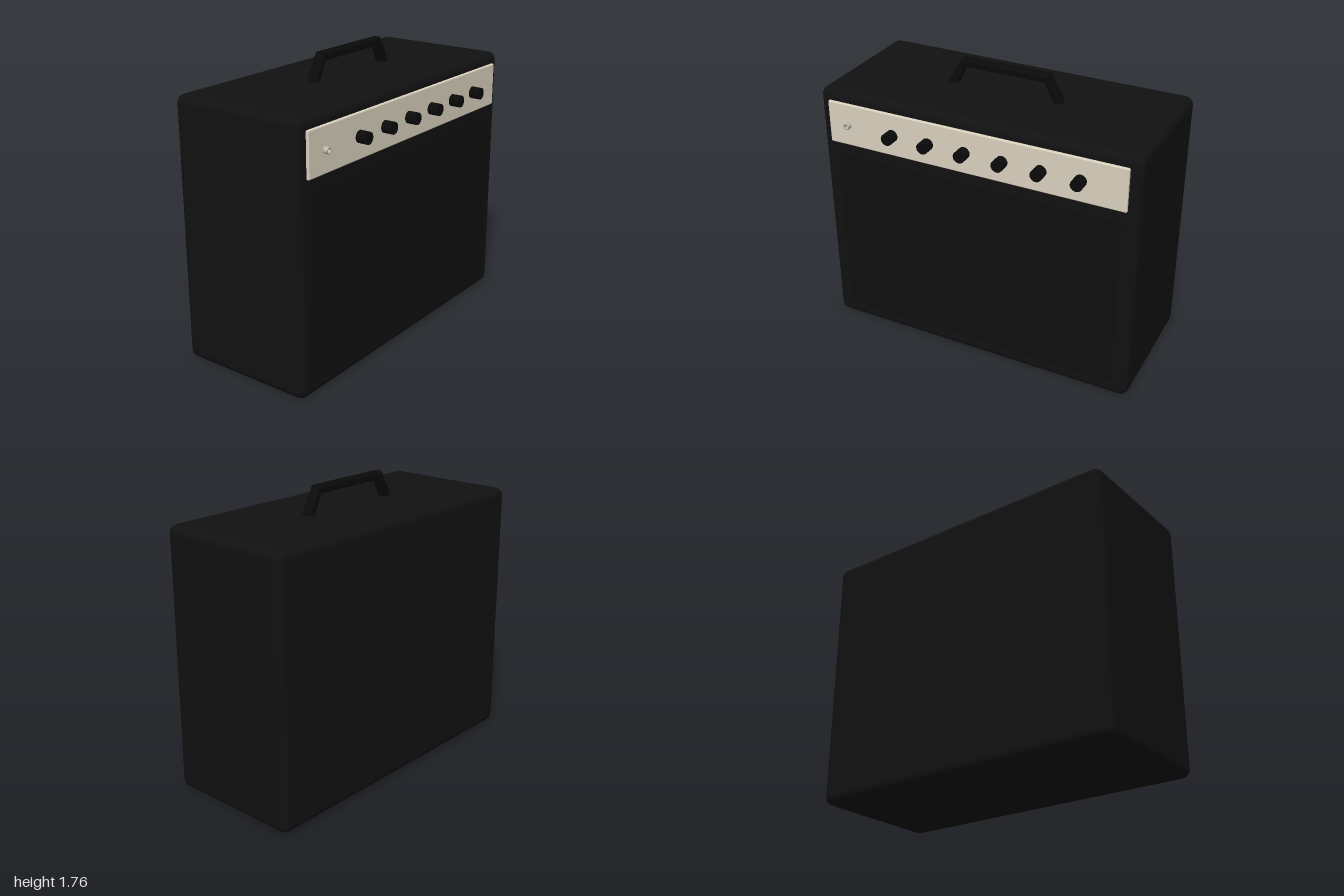
import * as THREE from 'three';
import { RoundedBoxGeometry } from 'three/addons/geometries/RoundedBoxGeometry.js';

const paint = (name, color) => {
  const m = new THREE.MeshStandardMaterial({ color });
  m.name = name;
  return m;
};

export function createModel() {
  const group = new THREE.Group();
  const covering = paint('black covering', 0x111111);
  const cloth = paint('grille black', 0x0f0f0f);
  const plastic = paint('knob black', 0x0a0a0a);
  const cream = paint('cream panel', 0xdad1be);
  const metal = paint('jack metal', 0xc4bcaa);

  const add = (name, geometry, material, x, y, z) => {
    const mesh = new THREE.Mesh(geometry, material);
    mesh.name = name;
    mesh.position.set(x, y, z);
    group.add(mesh);
    return mesh;
  };

  // Cabinet with softly rounded edges
  add('cabinet', new RoundedBoxGeometry(2, 1.6, 0.87, 4, 0.05), covering, 0, 0.8, -0.04);

  // Speaker grille, barely proud of the cabinet front
  add('grille', new THREE.BoxGeometry(1.8, 1.1, 0.02), cloth, 0, 0.65, 0.392);

  // Control panel
  add('controlPanel', new RoundedBoxGeometry(1.866, 0.265, 0.03, 2, 0.008), cream, -0.002, 1.402, 0.396);

  // Row of knobs
  const knob = new THREE.CylinderGeometry(0.036, 0.036, 0.075, 24).rotateX(Math.PI / 2);
  for (let i = 0; i < 6; i++) add('knob' + (i + 1), knob, plastic, -0.504 + i * 0.2336, 1.402, 0.4375);

  // Input jack: a short open sleeve
  const sleeve = [[0.01, -0.02], [0.019, -0.02], [0.019, 0.018], [0.012, 0.018], [0.01, -0.02]]
    .map(([r, h]) => new THREE.Vector2(r, h));
  add('inputJack', new THREE.LatheGeometry(sleeve, 20).rotateX(Math.PI / 2), metal, -0.8, 1.402, 0.419);

  // Carrying handle: angled legs and a straight grip, with bevelled edges
  const b = 0.014;
  const outline = [
    [-0.348, 1.602], [-0.268, 1.746], [0.268, 1.746], [0.348, 1.602],
    [0.325, 1.59], [0.262, 1.724], [-0.262, 1.724], [-0.325, 1.59],
  ].map(([x, y]) => new THREE.Vector2(x, y));
  const handle = new THREE.ExtrudeGeometry(new THREE.Shape(outline), {
    depth: 0.064 - 2 * b, bevelEnabled: true, bevelThickness: b, bevelSize: b, bevelSegments: 2,
  });
  add('handle', handle, plastic, 0, 0, -0.04 - (0.064 - 2 * b) / 2);

  return group;
}
